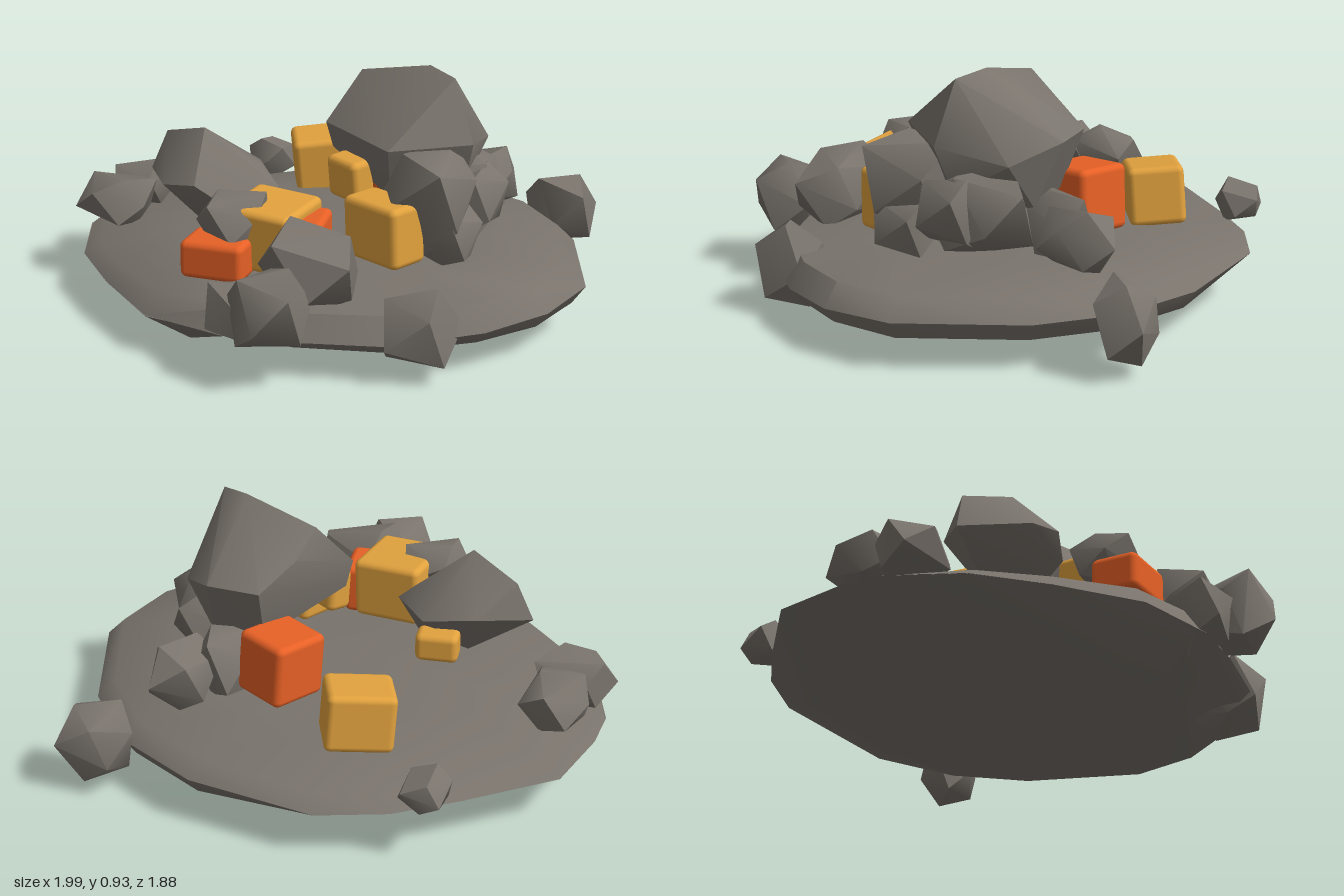
import * as THREE from 'three';
import { toCreasedNormals } from 'three/addons/utils/BufferGeometryUtils.js';
import { ConvexGeometry } from 'three/addons/geometries/ConvexGeometry.js';
import { RoundedBoxGeometry } from 'three/addons/geometries/RoundedBoxGeometry.js';

const mat = (name, color) => {
  const m = new THREE.MeshStandardMaterial({ color });
  m.name = name;
  return m;
};

export function createModel() {
  const group = new THREE.Group();
  const stone = mat('stone grey', 0x79736c);
  const amber = mat('amber', 0xe2a23e);
  const orange = mat('burnt orange', 0xe86126);

  const add = (name, geometry, material) => {
    const mesh = new THREE.Mesh(geometry, material);
    mesh.name = name;
    group.add(mesh);
    return mesh;
  };
  // Faceted stone around a few corner points
  const hull = (name, pts, crease = 0.85) =>
    add(name, toCreasedNormals(new ConvexGeometry(pts.map(p => new THREE.Vector3(...p))), crease), stone);

  // Ground slab: outline, raised upper rim and flat underside
  const outline = [
    [-0.24, -0.94], [0.25, -0.91], [0.58, -0.77], [0.81, -0.54], [1.0, -0.1], [0.95, 0.18],
    [0.8, 0.41], [0.52, 0.64], [0.2, 0.73], [-0.05, 0.77], [-0.38, 0.72], [-0.65, 0.52],
    [-0.86, 0.32], [-0.98, 0.05], [-0.99, -0.12], [-0.95, -0.4], [-0.68, -0.66], [-0.48, -0.83],
  ];
  const slab = [[0, 0.285, 0], [0.09, 0.07, 0.5], [0.1, 0.06, -0.7], [-0.3, 0.08, -0.7], [-0.1, 0.07, -0.2]];
  for (const [x, z] of outline) {
    slab.push([x, 0.18 - 0.05 * Math.max(0, z), z]);
    slab.push([x * 0.93, 0.228 + 0.024 * x, z * 0.93]);
    slab.push([x * 0.6, 0.273, z * 0.6]);
    if (x > 0.1) slab.push([x * 0.95, 0.11, z * 0.95]);
  }
  hull('groundSlab', slab, 0.8);

  // Keel under the front left of the slab
  hull('slabKeel', [
    [-0.21, 0, 0.4], [0.09, 0.07, 0.5], [0, 0.07, -0.2], [-0.25, 0.04, 0.62], [-0.05, 0.14, 0.75],
    [-0.38, 0.14, 0.72], [-0.65, 0.155, 0.52], [-0.86, 0.165, 0.32], [-0.98, 0.18, 0.05], [-0.3, 0.08, -0.5],
  ]);

  // Two large boulders
  hull('tallBoulder', [
    [-0.02, 0.69, -0.06], [0.07, 0.87, -0.19], [0.36, 0.93, -0.15], [0.48, 0.91, -0.09],
    [0.57, 0.68, -0.05], [0.33, 0.69, 0.18], [0.18, 0.7, -0.45], [0.38, 0.7, -0.46],
    [0.53, 0.63, -0.32], [0.1, 0.78, -0.3], [0, 0.59, -0.08], [0.3, 0.48, 0.08],
    [0.52, 0.5, -0.1], [0.2, 0.48, -0.37], [0.4, 0.45, -0.36],
  ], 0.6);
  hull('leftBoulder', [
    [-0.66, 0.48, 0.13], [-0.6, 0.63, 0.11], [-0.4, 0.69, 0.19], [-0.2, 0.54, 0.1],
    [-0.13, 0.47, 0.12], [-0.5, 0.53, -0.04], [-0.3, 0.5, -0.07], [-0.27, 0.45, 0.32],
    [-0.36, 0.52, 0.36], [-0.5, 0.5, 0.34], [-0.22, 0.34, 0.12], [-0.42, 0.32, 0.1], [-0.4, 0.35, 0.24],
  ]);

  // Smaller rocks, each fitted to [x0, x1, y0, y1, z0, z1]
  const rocks = [
    [-0.97, -0.72, 0.22, 0.42, -0.24, 0.02],
    [-0.99, -0.70, 0.22, 0.41, -0.04, 0.20],
    [-0.67, -0.49, 0.19, 0.35, -0.86, -0.68],
    [0.52, 0.79, 0.05, 0.34, -0.93, -0.72],
    [0.45, 0.72, 0.03, 0.34, 0.39, 0.66],
    [0.00, 0.27, 0.14, 0.43, 0.66, 0.94],
    [-0.11, 0.08, 0.10, 0.34, 0.60, 0.84],
    [0.01, 0.38, 0.22, 0.52, 0.38, 0.70],
    [-0.28, -0.04, 0.35, 0.55, 0.32, 0.57],
    [0.33, 0.56, 0.26, 0.50, -0.71, -0.42],
    [0.22, 0.43, 0.26, 0.52, -0.54, -0.30],
    [0.33, 0.62, 0.26, 0.62, -0.38, 0.02],
    [0.43, 0.67, 0.30, 0.58, -0.24, 0.00],
    [0.27, 0.60, 0.32, 0.68, -0.08, 0.26],
    [0.42, 0.64, 0.27, 0.50, -0.03, 0.20],
  ];
  let seed = 11;
  const rand = () => (seed = (seed * 16807) % 2147483647) / 2147483647;
  const swell = v => Math.sign(v) * Math.abs(v) ** 0.75;
  rocks.forEach(([x0, x1, y0, y1, z0, z1], n) => {
    const pts = [], spin = rand() * 6.28;
    for (let i = 0; i < 11; i++) {
      const y = 1 - (2 * i + 1) / 11, r = Math.sqrt(1 - y * y), a = i * 2.4 + spin;
      const k = 0.88 + 0.24 * rand();
      pts.push(new THREE.Vector3(swell(Math.cos(a) * r) * k, swell(y) * k, swell(Math.sin(a) * r) * k));
    }
    const box = new THREE.Box3().setFromPoints(pts), size = box.getSize(new THREE.Vector3());
    hull('rock' + (n + 1), pts.map(p => [
      x0 + (x1 - x0) * (p.x - box.min.x) / size.x,
      y0 + (y1 - y0) * (p.y - box.min.y) / size.y,
      z0 + (z1 - z0) * (p.z - box.min.z) / size.z,
    ]));
  });

  // Worn blocks scattered among the rocks: material, size, position, rotation
  const blocks = [
    [amber, [0.25, 0.22, 0.21], [-0.245, 0.37, -0.55], [0.08, 0.5, 0.05]],
    [orange, [0.22, 0.24, 0.23], [0.11, 0.43, -0.42], [0.08, -0.4, 0.06]],
    [amber, [0.16, 0.11, 0.10], [-0.35, 0.40, -0.04], [0, 0.2, 0]],
    [amber, [0.17, 0.16, 0.10], [0.12, 0.52, 0.03], [0.1, -0.5, 0.05]],
    [amber, [0.27, 0.23, 0.28], [-0.04, 0.40, 0.37], [0.03, -0.06, -0.04]],
    [amber, [0.27, 0.23, 0.16], [0.33, 0.41, 0.21], [0.03, -0.42, 0.03]],
    [orange, [0.24, 0.14, 0.18], [-0.175, 0.34, 0.53], [0, 0.08, 0]],
    [orange, [0.13, 0.19, 0.20], [0.10, 0.38, 0.35], [0, 0.2, 0]],
  ];
  blocks.forEach(([material, size, pos, rot], n) => {
    const block = add('block' + (n + 1), new RoundedBoxGeometry(...size, 2, 0.025), material);
    block.position.set(...pos);
    block.rotation.set(...rot);
  });

  return group;
}
